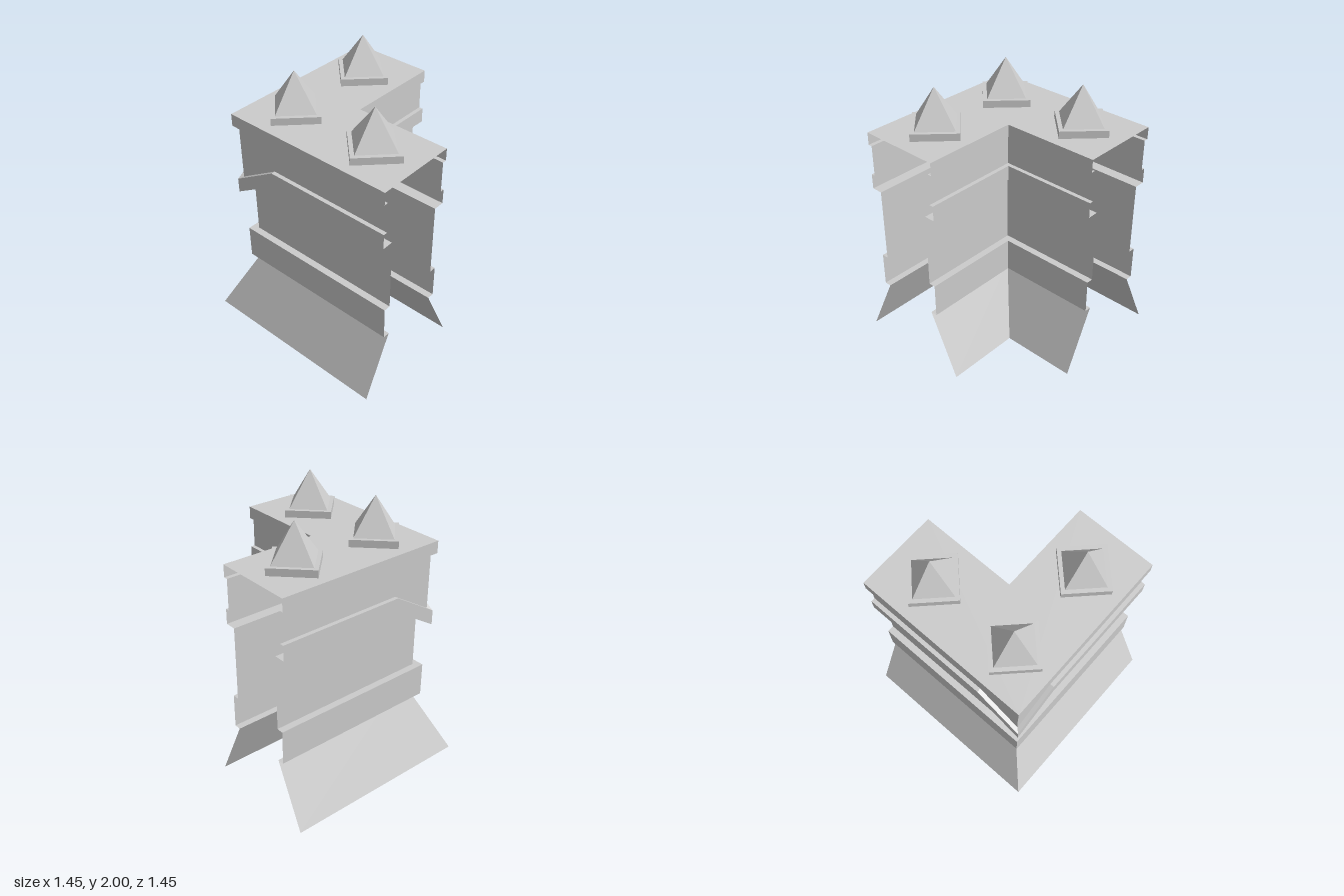
import * as THREE from 'three';

const C = 0.28;     // wall centre line: z = C on one arm, x = -C on the other
const END = 0.725;  // open ends of both arms
const KNEE = 0.23;  // where the sloping band starts towards the outer corner

const material = new THREE.MeshStandardMaterial({
  color: 0xcccccc, flatShading: true, side: THREE.DoubleSide,
});

// One profile row [offset from centre line, height, follows the slope] swept round the outer side
function outerRow([d, y, slopes]) {
  const o = C + d;
  const low = slopes ? y - 0.6 * (o - KNEE) : y;
  return [
    [-o, y, -END], [-o, y, -KNEE * -1], [-o, low, o], [-KNEE, y, o], [END, y, o],
  ];
}

// The same row swept round the inner side, always level
function innerRow([d, y]) {
  const i = C - d;
  return [[END, y, i], [-i, y, i], [-i, y, -END]];
}

// Join neighbouring rows with quads, unshared so every edge stays sharp
function strip(profile, rowOf) {
  const rows = profile.map(rowOf);
  const pos = [];
  for (let r = 0; r < rows.length - 1; r++) {
    for (let p = 0; p < rows[r].length - 1; p++) {
      const a = rows[r][p], b = rows[r][p + 1];
      const c = rows[r + 1][p + 1], d = rows[r + 1][p];
      pos.push(...a, ...b, ...c, ...a, ...c, ...d);
    }
  }
  const geo = new THREE.BufferGeometry();
  geo.setAttribute('position', new THREE.Float32BufferAttribute(pos, 3));
  geo.computeVertexNormals();
  return geo;
}

function addMesh(parent, name, geometry) {
  const mesh = new THREE.Mesh(geometry, material);
  mesh.name = name;
  parent.add(mesh);
  return mesh;
}

export function createModel() {
  const model = new THREE.Group();
  model.name = 'cornerWall';

  // Wall courses from the ground up, each an open shell along the L
  const courses = {
    flaredFoot: [[0.445, 0], [0.22, 0.475]],
    lowerBand: [[0.22, 0.475], [0.27, 0.475], [0.27, 0.725], [0.22, 0.725]],
    wall: [[0.22, 0.725], [0.22, 1.27, true]],
    slopingBand: [[0.22, 1.27, true], [0.3, 1.27, true], [0.3, 1.38, true], [0.27, 1.38, true]],
    upperWall: [[0.27, 1.38, true], [0.27, 1.605]],
    cap: [[0.27, 1.605], [0.3, 1.605], [0.3, 1.695]],
  };
  for (const [name, profile] of Object.entries(courses)) {
    const course = new THREE.Group();
    course.name = name;
    addMesh(course, name + 'Outer', strip(profile, outerRow));
    addMesh(course, name + 'Inner', strip(profile, innerRow));
    model.add(course);
  }

  // L-shaped top
  const o = C + 0.3, i = C - 0.3;
  const outline = [[-o, -o], [END, -o], [END, -i], [-i, -i], [-i, END], [-o, END]];
  const top = new THREE.ShapeGeometry(
    new THREE.Shape(outline.map(([x, y]) => new THREE.Vector2(x, y))));
  top.rotateX(-Math.PI / 2);
  top.translate(0, 1.695, 0);
  addMesh(model, 'top', top);

  // Pyramid spikes on square plinths, turned corner-on
  for (const [x, z] of [[-C, C], [-C, -0.395], [0.395, C]]) {
    const spike = new THREE.Group();
    spike.name = 'spike';
    spike.position.set(x, 1.695, z);
    addMesh(spike, 'plinth', new THREE.CylinderGeometry(0.23, 0.23, 0.052, 4)).position.y = 0.026;
    addMesh(spike, 'pyramid', new THREE.ConeGeometry(0.19, 0.253, 4)).position.y = 0.1785;
    model.add(spike);
  }
  return model;
}
